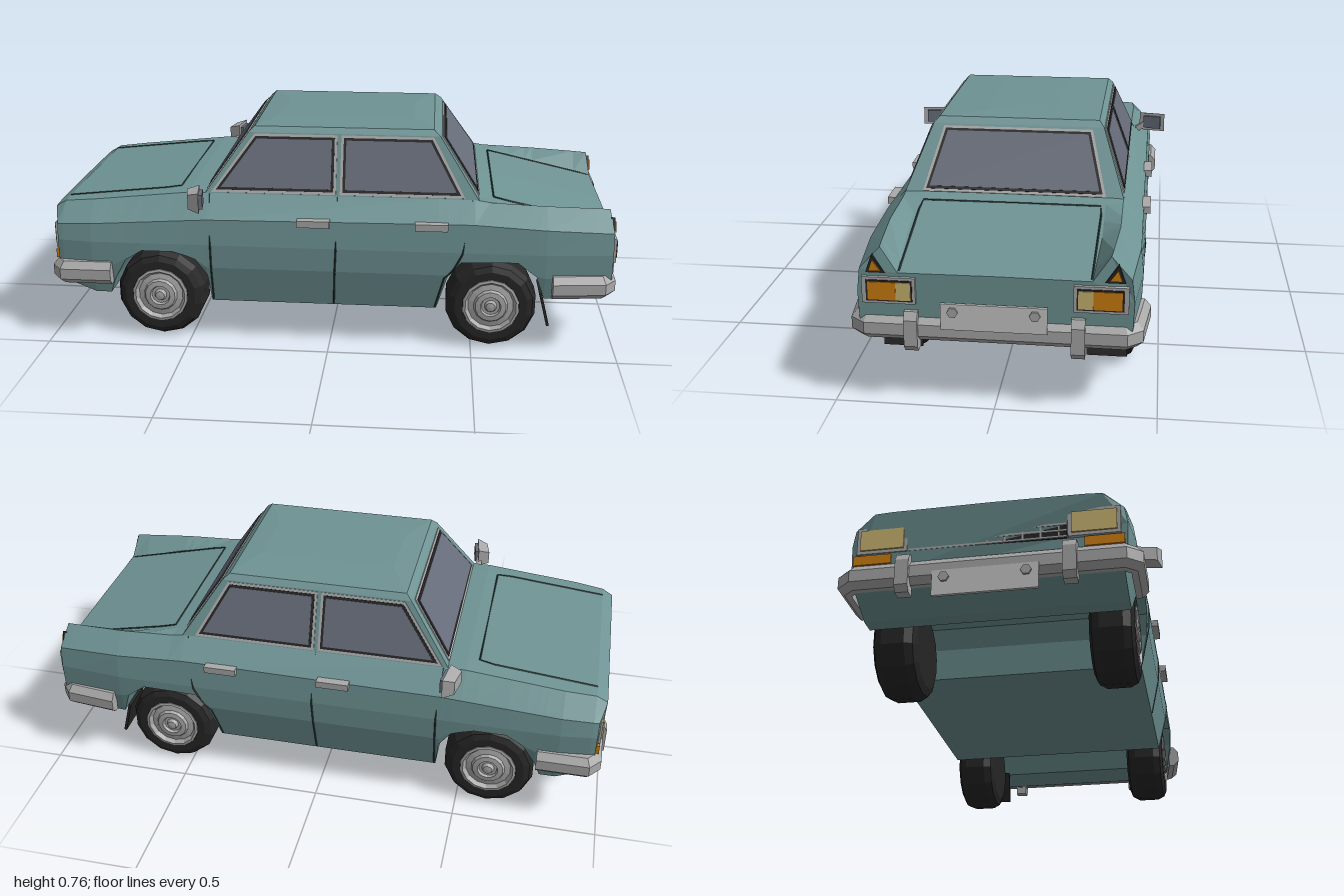
import * as THREE from 'three';

const V = (x, y, z) => new THREE.Vector3(x, y, z);
const paint = (color, extra = {}) => new THREE.MeshStandardMaterial({ color, flatShading: true, ...extra });
const M = {
  body: paint(0x6f9394), glass: paint(0x676d7a), chrome: paint(0xaaaaaa), plate: paint(0xcccccc),
  rubber: paint(0x262626), seam: paint(0x2c3a3b), amber: paint(0xd08010), lens: paint(0xcdb873),
};

// Piecewise linear lookup in a list of [x, value]
function at(x, pts) {
  if (x <= pts[0][0]) return pts[0][1];
  for (let i = 1; i < pts.length; i++) {
    const [a, p] = pts[i - 1], [b, q] = pts[i];
    if (x <= b) return p + (q - p) * (x - a) / (b - a);
  }
  return pts[pts.length - 1][1];
}

// Area normal of a ring of points
function ringNormal(r) {
  const n = V(0, 0, 0);
  r.forEach((p, i) => n.add(p.clone().cross(r[(i + 1) % r.length])));
  return n;
}

// Closed solid through equal-length rings, with both ends capped
function loft(name, rings, mat) {
  const n = rings[0].length, index = [];
  for (let i = 0; i < rings.length - 1; i++) for (let j = 0; j < n; j++) {
    const a = i * n + j, d = i * n + (j + 1) % n;
    index.push(a, a + n, d + n, a, d + n, d);
  }
  for (const [k, flip] of [[0, false], [rings.length - 1, true]]) {
    const N = ringNormal(rings[k]).toArray().map(Math.abs);
    const w = N.indexOf(Math.max(...N));
    const flat = rings[k].map((p) => new THREE.Vector2(p.getComponent((w + 1) % 3), p.getComponent((w + 2) % 3)));
    const sign = THREE.ShapeUtils.area(flat);
    for (const [a, b, c] of THREE.ShapeUtils.triangulateShape(flat, [])) {
      const same = THREE.ShapeUtils.area([flat[a], flat[b], flat[c]]) * sign > 0;
      index.push(...(same !== flip ? [a, b, c] : [a, c, b]).map((q) => q + k * n));
    }
  }
  const g = new THREE.BufferGeometry().setFromPoints(rings.flat());
  g.setIndex(index);
  return mesh(name, g.toNonIndexed(), mat);
}

function mesh(name, g, mat) {
  g.computeVertexNormals();
  const m = new THREE.Mesh(g, mat);
  m.name = name;
  return m;
}

function box(name, size, pos, mat) {
  const m = mesh(name, new THREE.BoxGeometry(...size), mat);
  m.position.set(...pos);
  return m;
}

// Thin slab on a convex polygon, facing away from the car, grown sideways by `grow`
function panel(name, pts, mat, out, grow = 0) {
  const c = pts.reduce((s, p) => s.add(p), V(0, 0, 0)).divideScalar(pts.length);
  let n = ringNormal(pts).normalize();
  if (n.dot(c.sub(V(0, 0.4, 0))) > 0) pts = [...pts].reverse();
  else n.negate();
  const ring = pts.map((p, i) => {
    const a = p.clone().sub(pts.at(i - 1)).normalize();
    const b = pts[(i + 1) % pts.length].clone().sub(p).normalize();
    return p.clone().addScaledVector(a.clone().sub(b), grow / a.clone().cross(b).length());
  });
  return loft(name, [-0.01, out].map((d) => ring.map((p) => p.clone().addScaledVector(n, d))), mat);
}

// Glass with a rubber seal and a bright trim
function windowPane(name, pts) {
  const g = new THREE.Group();
  g.name = name;
  g.add(panel('trim', pts, M.chrome, 0.004, 0.018), panel('seal', pts, M.rubber, 0.006, 0.009), panel('glass', pts, M.glass, 0.008));
  return g;
}

// Half width of the body side at height y
const sideZ = (y) => at(y, [[0.14, 0.41], [0.28, 0.44], [0.36, 0.444], [0.45, 0.432], [0.53, 0.367]]);

// Dark groove along a path
function seam(name, pts) {
  const path = new THREE.CurvePath();
  for (let i = 1; i < pts.length; i++) path.add(new THREE.LineCurve3(pts[i - 1], pts[i]));
  return mesh(name, new THREE.TubeGeometry(path, 24, 0.003, 4), M.seam);
}

// Lower body: the underside line carries the wheel arches
function lowerBody() {
  const under = [[-0.975, 0.22], [-0.945, 0.207], [-0.84, 0.165], [-0.785, 0.165], [-0.765, 0.22], [-0.72, 0.3],
    [-0.66, 0.337], [-0.55, 0.337], [-0.5, 0.322], [-0.47, 0.31], [-0.43, 0.25], [-0.42, 0.145], [0.375, 0.145],
    [0.41, 0.27], [0.455, 0.33], [0.5, 0.331], [0.55, 0.333], [0.65, 0.335], [0.715, 0.285], [0.745, 0.2],
    [0.91, 0.2], [0.972, 0.22]];
  const rings = under.map(([x, b], i) => {
    const s = at(x, [[-0.98, 0.42], [-0.43, 0.455], [0.49, 0.465], [0.97, 0.44]]);
    const ridge = at(x, [[-0.975, 0.465], [-0.945, 0.487], [-0.5, 0.533], [0.5, 0.533], [0.55, 0.525], [0.972, 0.508]]);
    const deck = at(x, [[-0.975, 0.468], [-0.945, 0.49], [-0.5, 0.537], [0.5, 0.535], [0.55, 0.524], [0.972, 0.43]]);
    const w = at(x, [[-0.975, 0.965], [-0.85, 1], [0.74, 1], [0.972, 0.95]]);
    const low = Math.max(0.28, b + 0.003), mid = 0.365;
    const half = [[sideZ(b), b], [sideZ(low), low], [sideZ(mid), mid], [0.434, s], [0.367, ridge], [0.31, deck]];
    const lean = (y) => (i === 0 ? (y > 0.44 ? -0.008 : 0.012) : i === under.length - 1 && y > 0.45 ? -0.012 : 0);
    const side = (k) => half.map(([z, y]) => V(x + lean(y), y, k * z * w));
    return [...side(1), V(x + lean(deck), deck + 0.002, 0), ...side(-1).reverse()];
  });
  return loft('lowerBody', rings, M.body);
}

// Cabin planes: windscreen, rear screen and side at height y
const screenX = (y) => -0.45 + (y - 0.52) * 0.721;
const rearX = (y) => 0.52 - (y - 0.52) * 0.674;
const cabinZ = (y) => 0.372 - (y - 0.52) * 0.372;

function cabin() {
  const g = new THREE.Group();
  g.name = 'cabin';
  const ring = (y, a, b, z) => [V(b, y, z), V(a, y, z), V(a, y, -z), V(b, y, -z)];
  g.add(loft('roof', [ring(0.5, screenX(0.5), rearX(0.5), cabinZ(0.5)), ring(0.735, screenX(0.735), rearX(0.735), cabinZ(0.735)),
    ring(0.754, -0.275, 0.352, 0.275), ring(0.76, -0.2, 0.28, 0.12)], M.body));
  const screen = (fx, y0, y1, z0, z1) => [V(fx(y0), y0, z0), V(fx(y0), y0, -z0), V(fx(y1), y1, -z1), V(fx(y1), y1, z1)];
  g.add(windowPane('windscreen', screen(screenX, 0.553, 0.712, 0.31, 0.252)));
  g.add(windowPane('rearWindow', screen(rearX, 0.548, 0.712, 0.286, 0.24)));
  for (const s of [1, -1]) {
    const pane = (pts) => pts.map(([x, y]) => V(x, y, s * cabinZ(y)));
    g.add(windowPane('frontDoorWindow', pane([[-0.385, 0.553], [0, 0.553], [0, 0.714], [-0.264, 0.714]])));
    g.add(windowPane('rearDoorWindow', pane([[0.05, 0.553], [0.435, 0.553], [0.342, 0.714], [0.05, 0.714]])));
  }
  return g;
}

// Wrap-around bumper facing +x, with two overriders
function bumper(name, endX, endZ, cornerZ) {
  const g = new THREE.Group();
  g.name = name;
  const profile = [[0, 0.21], [0.02, 0.23], [0.02, 0.268], [0, 0.292], [-0.02, 0.292], [-0.02, 0.21]];
  const path = [[endX, endZ, 0, 1], [0.94, cornerZ + 0.005, 0.5, 1], [0.968, cornerZ - 0.03, 1, 0.4],
    [0.968, 0.03 - cornerZ, 1, -0.4], [0.94, -cornerZ - 0.005, 0.5, -1], [endX, -endZ, 0, -1]];
  g.add(loft('bar', path.map(([x, z, ox, oz]) => profile.map(([o, y]) => V(x + o * ox, y, z + o * oz))), M.chrome));
  for (const z of [0.255, -0.255]) {
    const q = [[0.95, 0.18], [0.985, 0.18], [1, 0.2], [1, 0.285], [0.985, 0.31], [0.95, 0.31]];
    g.add(loft('overrider', [z + 0.021, z - 0.021].map((w) => q.map(([x, y]) => V(x, y, w))), M.chrome));
  }
  return g;
}

function numberPlate(name, x, y) {
  const g = new THREE.Group();
  g.name = name;
  g.add(box('plate', [0.01, 0.085, 0.325], [x, y, 0], M.plate));
  for (const z of [0.125, -0.125]) {
    const bolt = mesh('bolt', new THREE.CylinderGeometry(0.017, 0.017, 0.016, 6), M.chrome);
    bolt.rotation.z = Math.PI / 2;
    bolt.position.set(x + Math.sign(x) * 0.004, y + 0.017, z);
    g.add(bolt);
  }
  return g;
}

// Wheel with its outer face towards s * z
function wheel(name, x, s) {
  const g = new THREE.Group();
  g.name = name;
  const lathe = (n, pts, mat) => {
    const m = mesh(n, new THREE.LatheGeometry(pts.map(([r, y]) => new THREE.Vector2(r, y)), 14), mat);
    m.rotation.x = Math.PI / 2;
    return m;
  };
  g.add(lathe('tyre', [[0, -0.07], [0.12, -0.07], [0.146, -0.06], [0.16, -0.035], [0.16, 0.04], [0.148, 0.064], [0.128, 0.074], [0.1, 0.074], [0.094, 0.06], [0, 0.06]], M.rubber));
  g.add(lathe('hubcap', [[0.099, 0.062], [0.099, 0.076], [0.09, 0.078], [0.08, 0.064], [0.06, 0.068], [0.054, 0.078], [0.036, 0.08], [0.032, 0.07], [0.022, 0.07], [0.016, 0.082], [0, 0.084]], M.chrome));
  g.rotation.y = s > 0 ? 0 : Math.PI;
  g.position.set(x, 0.16, s * 0.345);
  return g;
}

function sideParts(s) {
  const g = new THREE.Group();
  g.name = s > 0 ? 'leftSideParts' : 'rightSideParts';
  const line = (name, pts) => g.add(seam(name, pts.map(([x, y]) => V(x, y, s * sideZ(y)))));
  line('frontDoorSeam', [[-0.425, 0.53], [-0.418, 0.455], [-0.415, 0.36], [-0.415, 0.28], [-0.415, 0.15]]);
  line('middleDoorSeam', [[0.024, 0.53], [0.024, 0.455], [0.024, 0.36], [0.02, 0.28], [0.015, 0.15]]);
  line('rearDoorSeam', [[0.49, 0.53], [0.475, 0.455], [0.46, 0.36], [0.43, 0.3], [0.4, 0.27], [0.37, 0.15]]);
  for (const x of [-0.053, 0.352]) g.add(box('doorHandle', [0.113, 0.024, 0.03], [x, 0.457, s * 0.442], M.chrome));
  g.add(wheel('frontWheel', -0.607, s), wheel('rearWheel', 0.565, s));

  const flap = box('mudFlap', [0.01, 0.125, 0.13], [0.752, 0.145, s * 0.333], M.rubber);
  flap.rotation.z = 0.25;
  g.add(flap);

  // Door mirror: tapered housing on a slanted arm
  const face = (x, k) => [[0.4, 0.505], [0.4, 0.572], [0.5, 0.572], [0.5, 0.5], [0.42, 0.5]]
    .map(([z, y]) => V(x + (z - 0.45) * 0.15, 0.537 + (y - 0.537) * k, s * (0.452 + (z - 0.452) * k)));
  const order = (r) => (s > 0 ? r : r.reverse());
  g.add(loft('mirrorHousing', [order(face(-0.485, 0.7)), order(face(-0.445, 1))].map((r) => r.reverse()), M.chrome));
  g.add(panel('mirrorGlass', face(-0.441, 0.68).map((p) => p.setX(-0.4425 + (Math.abs(p.z) - 0.45) * 0.15)), paint(0x676d7a, { side: THREE.DoubleSide }), 0.004));
  const arm = box('mirrorArm', [0.022, 0.022, 0.09], [-0.455, 0.503, s * 0.388], M.chrome);
  arm.rotation.x = -s * 0.6;
  g.add(arm);

  // Rear lamps
  g.add(box('rearLampBezel', [0.025, 0.085, 0.165], [0.97, 0.375, s * 0.322], M.chrome));
  g.add(box('rearLampSeal', [0.025, 0.068, 0.142], [0.973, 0.375, s * 0.32], M.rubber));
  g.add(box('rearIndicator', [0.025, 0.058, 0.086], [0.976, 0.375, s * 0.342], M.amber));
  g.add(box('reverseLamp', [0.025, 0.058, 0.045], [0.976, 0.375, s * 0.276], M.lens));
  const tri = [[0.387, 0.433], [0.34, 0.433], [0.371, 0.478]].map(([z, y]) => V(0.97, y, s * z));
  g.add(panel('finLampSeal', tri, M.rubber, 0.005, 0.004), panel('finLamp', tri, M.amber, 0.01, -0.003));

  // Headlamps and front indicators
  g.add(box('headlampBezel', [0.025, 0.092, 0.16], [-0.963, 0.375, s * 0.328], M.chrome));
  g.add(box('headlamp', [0.025, 0.07, 0.138], [-0.968, 0.375, s * 0.328], M.lens));
  g.add(box('frontIndicator', [0.03, 0.032, 0.12], [-0.96, 0.308, s * 0.358], M.amber));
  return g;
}

function grille() {
  const g = new THREE.Group();
  g.name = 'grille';
  g.add(box('grilleBack', [0.02, 0.092, 0.49], [-0.96, 0.375, 0], M.rubber));
  for (let i = 0; i < 5; i++) g.add(box('grilleSlat', [0.014, 0.007, 0.49], [-0.966, 0.333 + i * 0.021, 0], M.chrome));
  for (let i = -4; i <= 4; i++) g.add(box('grilleBar', [0.01, 0.09, 0.005], [-0.967, 0.375, i * 0.055], M.chrome));
  return g;
}

export function createModel() {
  const car = new THREE.Group();
  car.name = 'saloonCar';
  car.add(lowerBody(), cabin(), grille(), sideParts(1), sideParts(-1));
  const front = bumper('frontBumper', 0.77, 0.45, 0.445);
  front.rotation.y = Math.PI;
  car.add(front, bumper('rearBumper', 0.77, 0.45, 0.425));
  car.add(numberPlate('frontPlate', -0.985, 0.2), numberPlate('rearPlate', 0.989, 0.302));
  // Bonnet and boot lid outlines
  car.add(seam('bonnetSeam', [V(-0.945, 0.49, 0.305), V(-0.54, 0.533, 0.305), V(-0.54, 0.533, -0.305), V(-0.945, 0.49, -0.305)]));
  car.add(seam('bootSeam', [V(0.965, 0.433, 0.292), V(0.565, 0.522, 0.3), V(0.565, 0.522, -0.3), V(0.965, 0.433, -0.292)]));
  return car;
}
